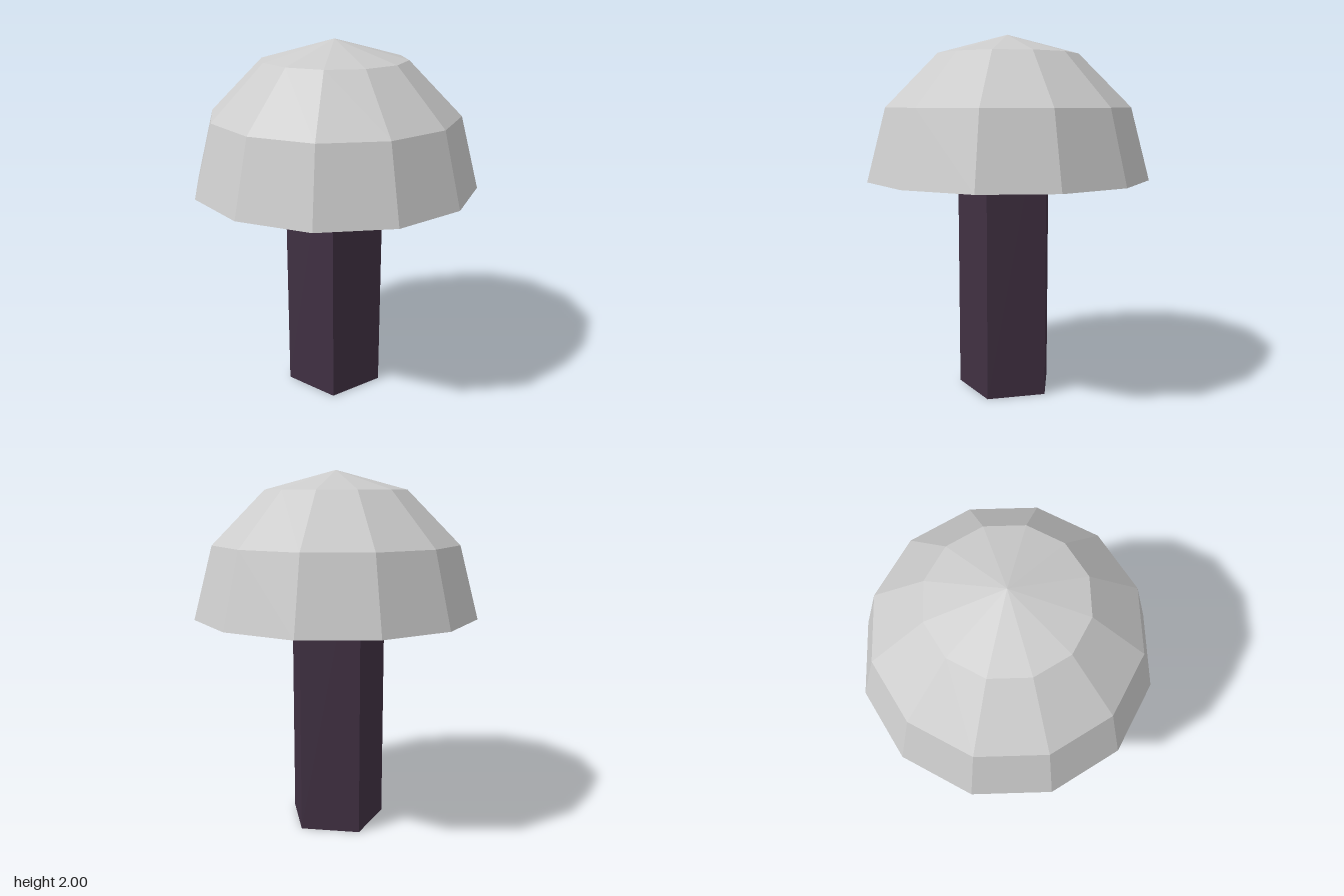
import * as THREE from 'three';

export function createModel() {
  const group = new THREE.Group();
  const capRadius = 0.786, stemRadius = 0.28, stemHeight = 1.8;

  // Cap: hollow, faceted half dome, open underneath
  const cap = new THREE.Mesh(
    new THREE.SphereGeometry(capRadius, 12, 3, 0, Math.PI * 2, 0, Math.PI / 2),
    new THREE.MeshStandardMaterial({ color: 0xcccccc, flatShading: true, side: THREE.DoubleSide })
  );
  cap.name = 'cap';
  cap.position.y = 2 - capRadius;
  group.add(cap);

  // Stem: five-sided post with one corner towards +x, running up inside the cap
  const stem = new THREE.Mesh(
    new THREE.CylinderGeometry(stemRadius, stemRadius, stemHeight, 5, 1, false, Math.PI / 2),
    new THREE.MeshStandardMaterial({ color: 0x403042, flatShading: true })
  );
  stem.name = 'stem';
  stem.position.y = stemHeight / 2;
  group.add(stem);

  return group;
}
